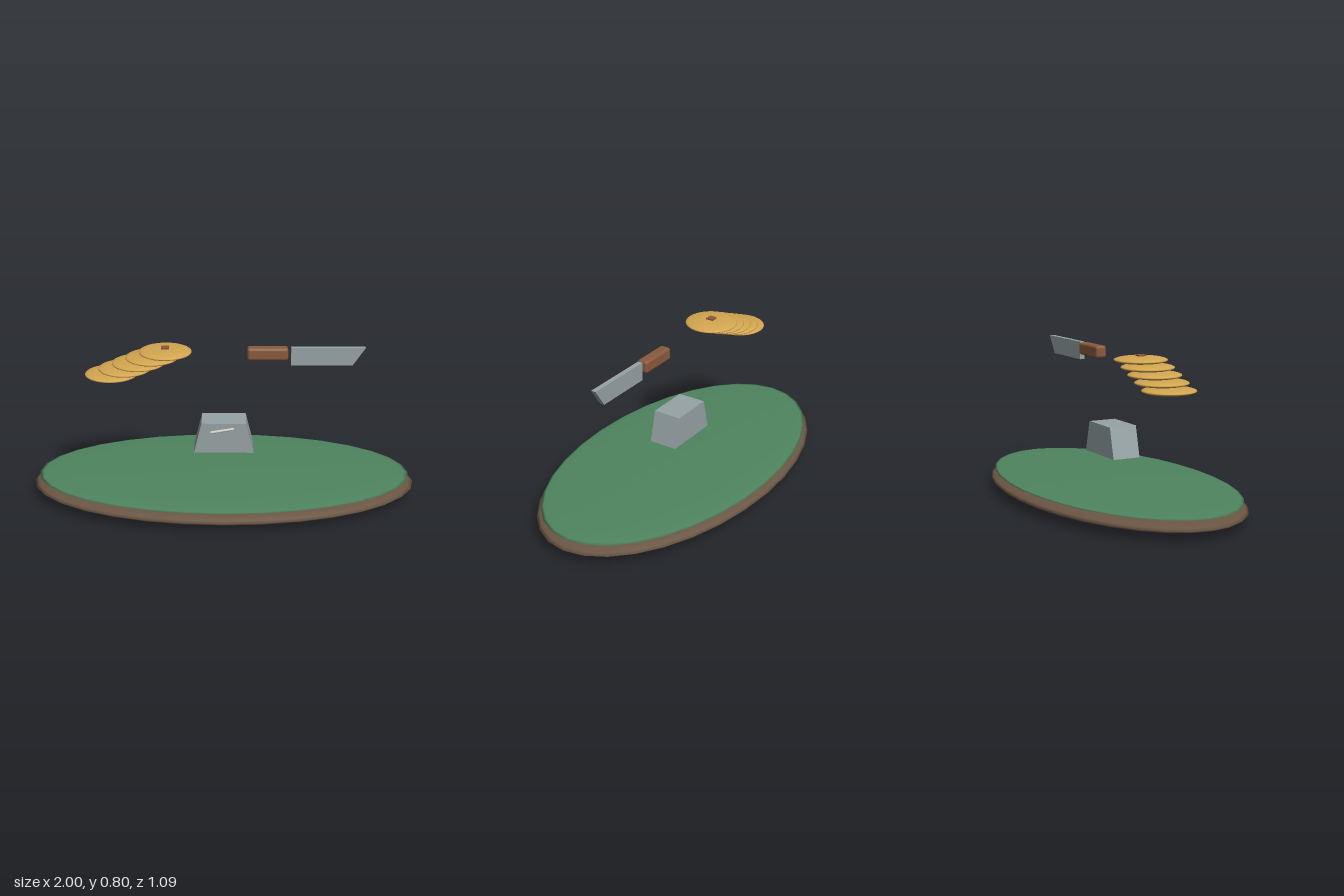
import * as THREE from 'three';
import { RoundedBoxGeometry } from 'three/addons/geometries/RoundedBoxGeometry.js';

const mat = (color) => new THREE.MeshStandardMaterial({ color });

function add(parent, name, geometry, material, x = 0, y = 0, z = 0) {
  const mesh = new THREE.Mesh(geometry, material);
  mesh.name = name;
  mesh.position.set(x, y, z);
  parent.add(mesh);
  return mesh;
}

// Flat plate of constant depth, centred on z = 0
function slab(points, depth) {
  const shape = new THREE.Shape(points.map(([x, y]) => new THREE.Vector2(x, y)));
  return new THREE.ExtrudeGeometry(shape, { depth, bevelEnabled: false }).translate(0, 0, -depth / 2);
}

export function createModel() {
  const group = new THREE.Group();
  const wood = mat(0x6b5644);
  const felt = mat(0x4f8560);
  const gold = mat(0xd4a650);
  const steel = mat(0x97a3a5);
  const grip = mat(0x8a5a3c);

  // Oval table: wooden lens with a thin felt lens on top
  const round = new THREE.SphereGeometry(1, 32, 16);
  add(group, 'tableBase', round, wood, 0, 0.058, 0).scale.set(1, 0.058, 0.543);
  add(group, 'feltTop', round, felt, 0, 0.104, 0).scale.set(0.973, 0.018, 0.523);

  // Tapered metal block with a slanted bar on its front
  const block = new THREE.Group();
  block.name = 'metalBlock';
  group.add(block);
  add(block, 'blockBody', slab([[-0.155, 0.245], [0.155, 0.245], [0.115, 0.407], [-0.115, 0.407]], 0.152), steel);
  const bar = add(block, 'blockBar', new THREE.CylinderGeometry(0.0075, 0.0075, 0.122, 8), mat(0xd2d2c6), -0.007, 0.369, 0.08);
  bar.rotation.z = -Math.PI / 2 + 0.17;

  // Slanting stack of coins, rising to the right
  const coins = new THREE.Group();
  coins.name = 'coinStack';
  group.add(coins);
  for (let i = 0; i < 5; i++) {
    add(coins, 'coin' + (i + 1), round, gold, -0.58 + i * 0.07, 0.654 + i * 0.03, 0).scale.set(0.136, 0.019, 0.136);
  }
  add(coins, 'coinCentre', new THREE.BoxGeometry(0.04, 0.022, 0.04), grip, -0.3, 0.789, 0);

  // Knife
  const knife = new THREE.Group();
  knife.name = 'knife';
  group.add(knife);
  add(knife, 'knifeHandle', new RoundedBoxGeometry(0.21, 0.066, 0.06, 2, 0.014), grip, 0.225, 0.767, 0);
  add(knife, 'knifeBlade', slab([[0.345, 0.705], [0.66, 0.705], [0.725, 0.8], [0.345, 0.8]], 0.026), steel);

  return group;
}
